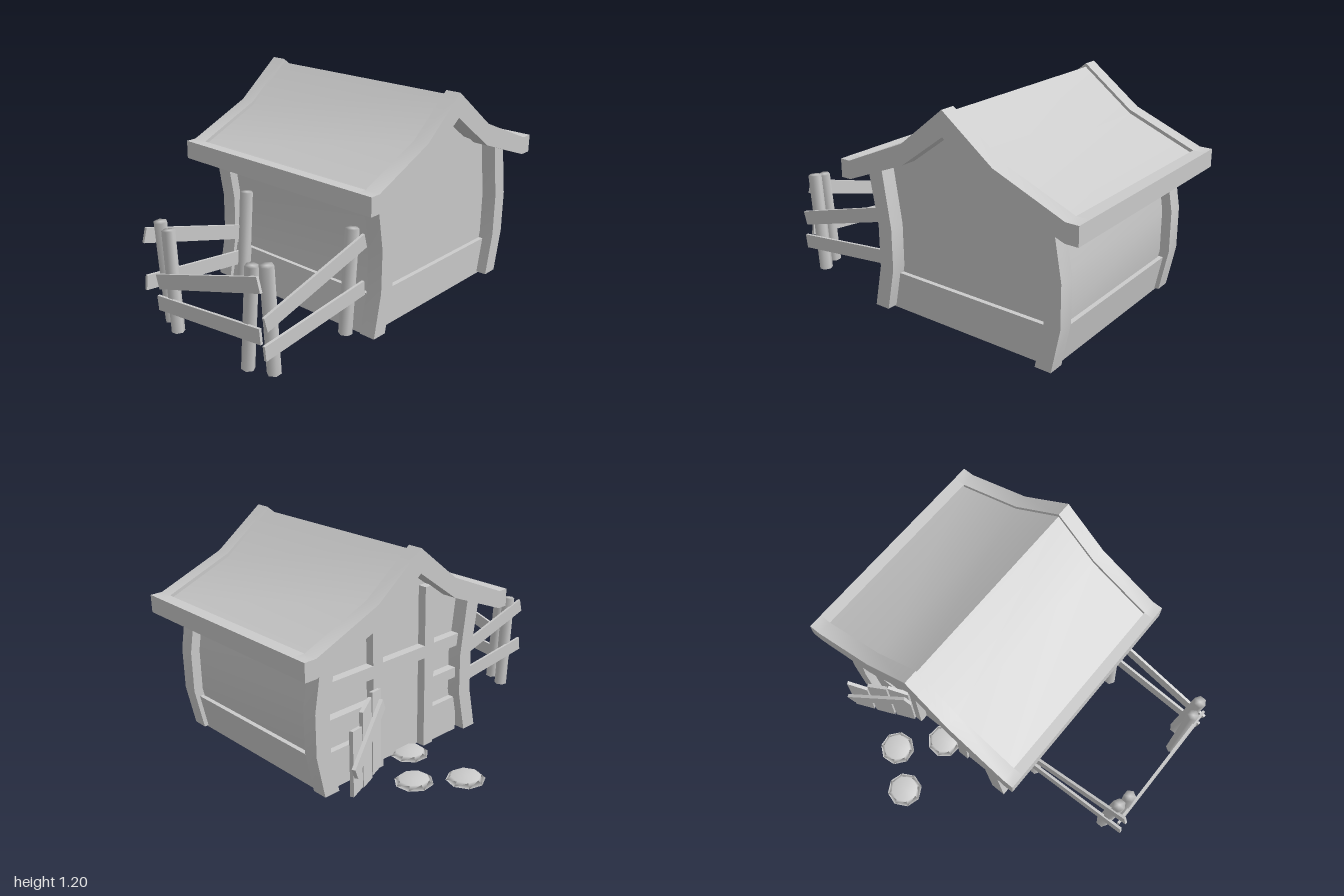
import * as THREE from 'three';
import { mergeVertices, toCreasedNormals } from 'three/addons/utils/BufferGeometryUtils.js';

const mat = new THREE.MeshStandardMaterial({ color: 0xcccccc, side: THREE.DoubleSide });

function add(parent, name, geometry) {
  const mesh = new THREE.Mesh(geometry, mat);
  mesh.name = name;
  parent.add(mesh);
  return mesh;
}

// Extrude an outline in the xy plane from z0 to z1, smooth over gentle bends
function slab(points, z0, z1) {
  const shape = new THREE.Shape(points.map(([x, y]) => new THREE.Vector2(x, y)));
  const g = new THREE.ExtrudeGeometry(shape, { depth: z1 - z0, bevelEnabled: false });
  return toCreasedNormals(g.translate(0, 0, z0), 0.5);
}

function box(x0, x1, y0, y1, z0, z1) {
  return new THREE.BoxGeometry(x1 - x0, y1 - y0, z1 - z0)
    .translate((x0 + x1) / 2, (y0 + y1) / 2, (z0 + z1) / 2);
}

// Cylinder with fully smooth shading, for stakes and stones
function softCylinder(rTop, rBottom, height, sides) {
  let g = new THREE.CylinderGeometry(rTop, rBottom, height, sides);
  g.deleteAttribute('normal');
  g.deleteAttribute('uv');
  g = mergeVertices(g);
  g.computeVertexNormals();
  return g;
}

// The whole cottage leans toward +x at mid height
const bendKeys = [[0, 0], [0.25, 0.05], [0.485, 0.05], [0.77, 0]];
function bend(y) {
  for (let i = 1; i < bendKeys.length; i++) {
    const [y0, o0] = bendKeys[i - 1], [y1, o1] = bendKeys[i];
    if (y <= y1) return o0 + (o1 - o0) * (y - y0) / (y1 - y0);
  }
  return 0;
}

// Bent outline between two x positions, with a top height for each edge
function bentOutline(x0, x1, bottom, top0, top1) {
  const side = (x, top) => [bottom, 0.25, 0.485, top]
    .filter((y, i) => i === 0 || i === 3 || (y > bottom && y < top))
    .map((y) => [x + bend(y), y]);
  return [...side(x1, top1), ...side(x0, top0).reverse()];
}

// Board between two points, standing on edge
function board(a, b, height, thickness) {
  const p = new THREE.Vector3(...a), q = new THREE.Vector3(...b);
  const x = q.clone().sub(p), length = x.length();
  x.normalize();
  const z = x.clone().cross(new THREE.Vector3(0, 1, 0)).normalize();
  const y = z.clone().cross(x);
  const m = new THREE.Matrix4().makeBasis(x, y, z).setPosition(p.add(q).multiplyScalar(0.5));
  return new THREE.BoxGeometry(length, height, thickness).applyMatrix4(m);
}

// Six-sided stake between two points
function stake(a, b, radius, turn) {
  const p = new THREE.Vector3(...a), q = new THREE.Vector3(...b);
  const d = q.clone().sub(p);
  const g = softCylinder(radius, radius, d.length(), 6).rotateY(turn);
  g.applyQuaternion(new THREE.Quaternion().setFromUnitVectors(new THREE.Vector3(0, 1, 0), d.normalize()));
  const c = p.add(q).multiplyScalar(0.5);
  return g.translate(c.x, c.y, c.z);
}

function createWalls() {
  const g = new THREE.Group();
  g.name = 'walls';
  // Gable walls rise into the roof
  const body = bentOutline(-0.26, 0.77, 0, 0.78, 0.78);
  const gable = [...body.slice(0, 4), [0.54, 0.88], [0.25, 1.09], [-0.01, 0.9], ...body.slice(4)];
  add(g, 'frontWall', slab(gable, 0.67, 0.695));
  add(g, 'backWall', slab(gable, -0.295, -0.27));
  add(g, 'rightWall', slab(bentOutline(-0.265, -0.24, 0, 0.78, 0.78), -0.28, 0.68));
  add(g, 'leftWall', slab(bentOutline(0.75, 0.775, 0, 0.78, 0.78), -0.28, 0.68));
  // Base boards
  add(g, 'frontBaseBoard', slab(bentOutline(-0.25, 0.78, 0, 0.21, 0.21), 0.68, 0.72));
  add(g, 'rightBaseBoard', slab(bentOutline(-0.287, -0.25, 0, 0.21, 0.21), -0.3, 0.7));
  add(g, 'leftBaseBoard', slab(bentOutline(0.76, 0.80, 0, 0.21, 0.21), -0.3, 0.7));
  // Bent corner posts
  for (const [z0, z1] of [[0.69, 0.78], [-0.38, -0.29]]) {
    add(g, 'cornerPost', slab(bentOutline(-0.31, -0.22, 0.01, 0.77, 0.81), z0, z1));
    add(g, 'cornerPost', slab(bentOutline(0.733, 0.825, 0.01, 0.81, 0.77), z0, z1));
  }
  return g;
}

function createTimbers() {
  const g = new THREE.Group();
  g.name = 'backTimbers';
  const z0 = -0.345, z1 = -0.285;
  add(g, 'doorPost', box(0.01, 0.08, 0, 0.93, z0, z1));
  add(g, 'doorPost', box(0.39, 0.46, 0, 0.95, z0, z1));
  add(g, 'crossBeam', box(-0.19, 0.8, 0.53, 0.6, z0, z1));
  for (const [a, b] of [[-0.2, 0.01], [0.46, 0.8]]) {
    add(g, 'middleRail', box(a, b, 0.34, 0.4, z0, z1));
    add(g, 'baseBoard', box(a, b, 0, 0.21, z0 + 0.015, z1));
  }
  return g;
}

function createRoof() {
  const g = new THREE.Group();
  g.name = 'roof';
  const top = [[-0.44, 0.83], [-0.38, 0.83], [-0.01, 0.99], [0.25, 1.2], [0.54, 0.98], [0.93, 0.82], [1, 0.82]];
  const bottom = [[1, 0.72], [0.93, 0.72], [0.54, 0.86], [0.25, 1.07], [-0.01, 0.88], [-0.38, 0.73], [-0.44, 0.73]];
  const trim = [...top, ...bottom];
  add(g, 'frontRoofTrim', slab(trim, 0.76, 0.845));
  add(g, 'backRoofTrim', slab(trim, -0.47, -0.385));
  add(g, 'rightEaveTrim', box(-0.44, -0.38, 0.73, 0.83, -0.385, 0.76));
  add(g, 'leftEaveTrim', box(0.93, 1, 0.72, 0.82, -0.385, 0.76));
  // Recessed roof covering
  const shift = (pts, d) => pts.map(([x, y]) => [x, y + d]);
  add(g, 'roofPanels', slab([...shift(top.slice(1, 6), -0.02), ...shift(bottom.slice(1, 6), 0.02)], -0.385, 0.76));
  return g;
}

// Plank door standing ajar
function createDoor() {
  const g = new THREE.Group();
  g.name = 'door';
  [[0.02, 0.47, 0.5], [0.02, 0.48, 0.45], [0.04, 0.38, 0.41]].forEach(([y0, ya, yb], i) => {
    const u = 0.005 + i * 0.13;
    add(g, 'doorPlank', slab([[u, y0], [u + 0.118, y0 + 0.01], [u + 0.118, yb], [u, ya]], -0.01, 0.01));
  });
  add(g, 'doorBrace', board([0.01, 0.39, -0.02], [0.39, 0.185, -0.02], 0.075, 0.02));
  g.position.set(0.425, 0, -0.352);
  g.rotation.y = 0.442;
  return g;
}

function createFence() {
  const g = new THREE.Group();
  g.name = 'fence';
  for (const z of [0.63, -0.13]) {
    add(g, 'fencePost', stake([-0.87, 0.01, z], [-0.91, 0.58, z], 0.037, Math.PI / 6));
    add(g, 'fencePost', stake([-0.355, 0.01, z], [-0.315, 0.58, z], 0.037, Math.PI / 6));
  }
  add(g, 'fencePost', stake([-0.925, 0.01, 0.51], [-0.925, 0.56, 0.55], 0.035, 0));
  add(g, 'fencePost', stake([-0.925, 0.01, -0.01], [-0.925, 0.56, -0.05], 0.035, 0));
  const rails = [
    [[-0.965, 0.315, 0.67], [-0.265, 0.51, 0.67]],
    [[-0.97, 0.17, 0.67], [-0.265, 0.25, 0.67]],
    [[-0.988, 0.52, -0.163], [-0.265, 0.32, -0.163]],
    [[-0.995, 0.26, -0.163], [-0.265, 0.18, -0.163]],
    [[-0.957, 0.27, -0.11], [-0.957, 0.5, 0.63]],
    [[-0.957, 0.15, -0.115], [-0.957, 0.24, 0.635]],
  ];
  for (const [a, b] of rails) add(g, 'fenceRail', board(a, b, 0.08, 0.015));
  return g;
}

export function createModel() {
  const model = new THREE.Group();
  model.name = 'cottage';
  model.add(createWalls(), createTimbers(), createRoof(), createDoor(), createFence());
  // Stepping stones leading to the door
  [[0.18, -0.74, 0.1], [0.39, -0.57, 0.5], [0.195, -0.35, 0.3]].forEach(([x, z, turn]) => {
    const stone = add(model, 'steppingStone', softCylinder(0.08, 0.105, 0.02, 8));
    stone.position.set(x, 0.01, z);
    stone.rotation.y = turn;
  });
  return model;
}
